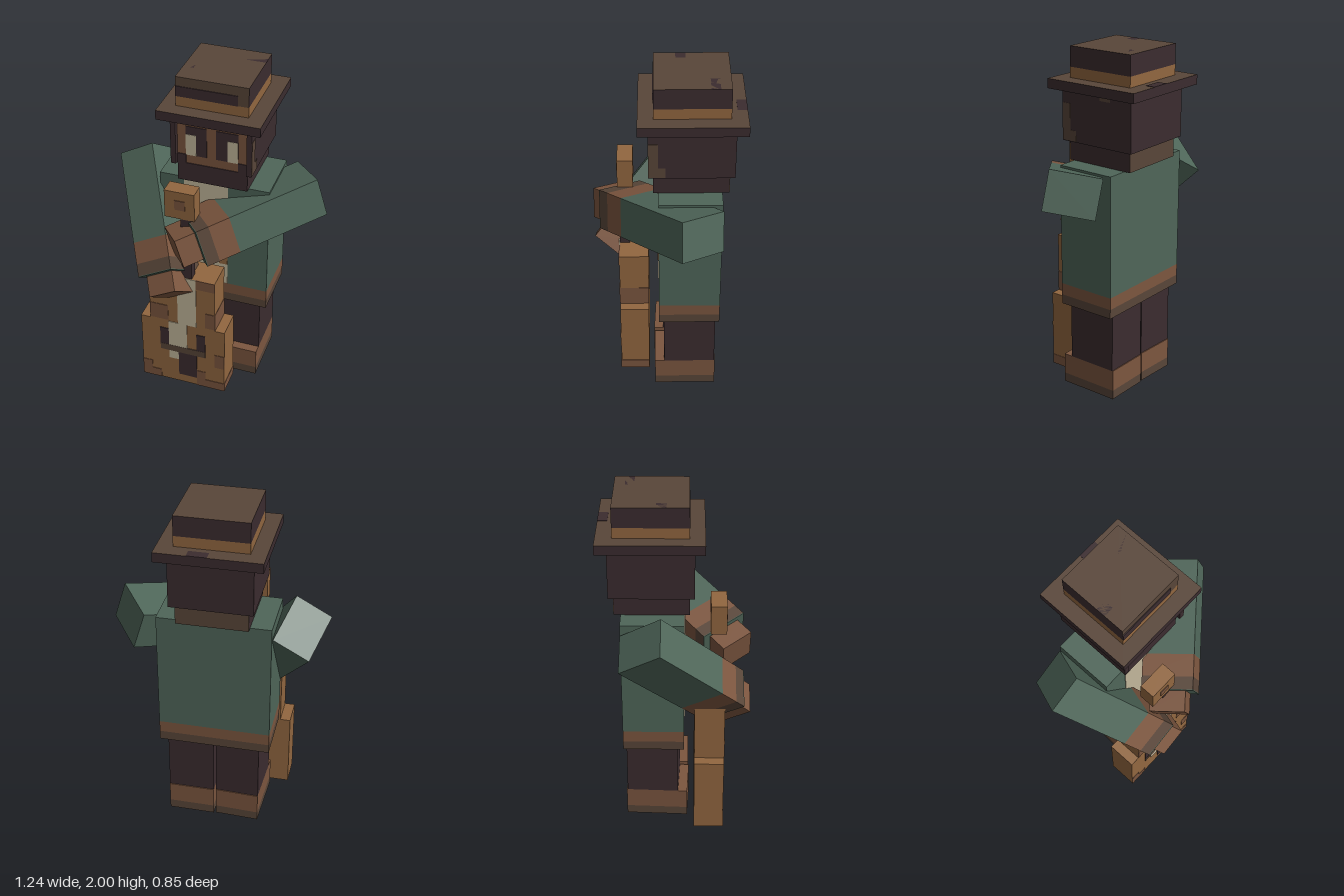
import * as THREE from 'three';

const mat = (name, color) => {
  const m = new THREE.MeshStandardMaterial({ color });
  m.name = name;
  return m;
};

export function createModel() {
  const green = mat('jacket green', 0x4f6659);
  const tan = mat('guitar wood', 0x926740);
  const brown = mat('skin and leather brown', 0x7c563f);
  const umber = mat('hat brown', 0x594639);
  const dark = mat('dark hair and trousers', 0x3b2c2f);
  const cream = mat('cream', 0xc3b79b);

  const model = new THREE.Group();
  const group = (name, parent = model) => {
    const g = new THREE.Group();
    g.name = name;
    parent.add(g);
    return g;
  };
  // Box given by its extents on each axis
  const box = (parent, name, m, x0, x1, y0, y1, z0, z1) => {
    const mesh = new THREE.Mesh(new THREE.BoxGeometry(x1 - x0, y1 - y0, z1 - z0), m);
    mesh.position.set((x0 + x1) / 2, (y0 + y1) / 2, (z0 + z1) / 2);
    mesh.name = name;
    parent.add(mesh);
    return mesh;
  };
  const T = 0.004;
  // Thin painted plates on front, top and left faces
  const front = (p, name, m, z, x0, x1, y0, y1) => box(p, name, m, x0, x1, y0, y1, z - T, z + T);
  const top = (p, name, m, y, x0, x1, z0, z1) => box(p, name, m, x0, x1, y - T, y + T / 2, z0, z1);
  const side = (p, name, m, x, z0, z1, y0, y1) => box(p, name, m, x - T, x + T / 2, y0, y1, z0, z1);

  // Hat
  const hat = group('hat');
  box(hat, 'brim', [dark, dark, umber, dark, dark, dark], -0.295, 0.29, 1.77, 1.825, -0.435, 0.15);
  box(hat, 'hatBand', tan, -0.21, 0.2, 1.825, 1.885, -0.345, 0.065);
  box(hat, 'crown', [dark, dark, umber, dark, umber, dark], -0.21, 0.2, 1.885, 2, -0.345, 0.065);
  front(hat, 'crownStripe', dark, 0.065, -0.21, 0.14, 1.885, 1.945);
  top(hat, 'brimPatch', dark, 1.825, 0, 0.11, -0.435, -0.38);
  top(hat, 'crownPatch', dark, 2 - T / 2, 0.085, 0.2, -0.285, -0.235);
  top(hat, 'crownPatch', dark, 2 - T / 2, -0.21, -0.15, -0.11, -0.055);

  // Head with a hair shell open at the front
  const head = group('head');
  box(head, 'face', [dark, dark, dark, dark, brown, dark], -0.205, 0.2, 1.36, 1.77, -0.345, 0.065);
  box(head, 'hairLeft', dark, 0.2, 0.23, 1.475, 1.77, -0.375, 0.095);
  box(head, 'hairRight', dark, -0.235, -0.205, 1.475, 1.77, -0.375, 0.095);
  box(head, 'hairBack', dark, -0.205, 0.2, 1.475, 1.77, -0.375, -0.345);
  box(head, 'nape', umber, -0.205, 0.2, 1.36, 1.475, -0.349, -0.344);
  front(head, 'beard', dark, 0.065, -0.205, 0.2, 1.36, 1.475);
  for (const [x0, x1] of [[-0.205, -0.155], [0.145, 0.2]])
    front(head, 'sideburn', dark, 0.065, x0, x1, 1.475, 1.53);
  front(head, 'eyeSocketRight', dark, 0.065, -0.155, -0.035, 1.53, 1.71);
  front(head, 'eyeSocketLeft', dark, 0.065, 0.02, 0.145, 1.53, 1.71);
  front(head, 'eyeRight', cream, 0.067, -0.155, -0.095, 1.53, 1.66);
  front(head, 'eyeLeft', cream, 0.067, 0.085, 0.145, 1.53, 1.66);
  side(head, 'hairPatch', umber, 0.23, 0.04, 0.095, 1.48, 1.69);
  side(head, 'hairPatch', umber, 0.23, 0, 0.04, 1.48, 1.54);
  side(head, 'hairPatch', umber, 0.23, -0.235, -0.165, 1.735, 1.77);

  // Jacket and shirt
  const torso = group('torso');
  box(torso, 'jacket', green, -0.325, 0.32, 0.655, 1.36, -0.31, 0.04);
  box(torso, 'jacketTrim', brown, -0.325, 0.32, 0.585, 0.655, -0.31, 0.04);
  box(torso, 'jacketHem', umber, -0.325, 0.32, 0.53, 0.585, -0.31, 0.04);
  front(torso, 'shirt', cream, 0.04, -0.18, 0.08, 0.66, 1.36);
  front(torso, 'shirtPatch', tan, 0.042, 0.03, 0.08, 0.8, 0.87);
  front(torso, 'shirtPatch', tan, 0.042, 0.04, 0.08, 0.98, 1.04);

  // Legs and boots
  for (const [name, x0, x1, turn] of [['leftLeg', 0.005, 0.275, 0], ['rightLeg', -0.27, -0.015, -0.04]]) {
    const leg = group(name);
    const c = (x0 + x1) / 2, h = (x1 - x0) / 2;
    leg.position.set(c, 0, -0.14);
    leg.rotation.y = turn;
    box(leg, 'trouserLeg', dark, -h, h, 0.18, 0.53, -0.15, 0.15);
    box(leg, 'boot', brown, -h, h, 0.055, 0.18, -0.155, 0.205);
    box(leg, 'bootSole', umber, -h, h, 0, 0.055, -0.155, 0.205);
  }

  // Bent arms: u runs across the sleeve, d along it
  const arm = (name, shoulder, across, along) => {
    const g = group(name);
    const d = new THREE.Vector3(...along).normalize();
    const u = new THREE.Vector3(...across);
    u.addScaledVector(d, -u.dot(d)).normalize();
    const w = new THREE.Vector3().crossVectors(u, d);
    g.quaternion.setFromRotationMatrix(new THREE.Matrix4().makeBasis(u, d, w));
    g.position.set(...shoulder);
    const part = (n, m, a, b, hx, hz) => box(g, n, m, -hx, hx, a, b, -hz, hz);
    part('sleeve', green, 0, 0.535, 0.114, 0.145);
    part('cuff', brown, 0.535, 0.66, 0.114, 0.145);
    part('cuffEdge', umber, 0.66, 0.731, 0.114, 0.145);
    part('cuffLining', green, 0.731, 0.736, 0.114, 0.145);
    part('hand', brown, 0.736, 0.855, 0.088, 0.1);
  };
  arm('rightArm', [-0.475, 1.325, -0.1975], [0.876, 0.482, 0], [0.375, -0.68, 0.628]);
  arm('leftArm', [0.5035, 1.2835, -0.1975], [0.295, -0.955, 0], [-0.746, -0.23, 0.624]);

  // Guitar standing on the ground
  const guitar = group('guitar');
  const F = 0.272;
  box(guitar, 'lowerBody', tan, -0.385, 0.14, 0, 0.47, 0.1, F);
  box(guitar, 'upperBody', tan, -0.325, 0.08, 0.47, 0.825, 0.1, F);
  box(guitar, 'neck', dark, -0.12, -0.06, 0.825, 1.24, 0.21, 0.27);
  box(guitar, 'headstock', tan, -0.21, -0.035, 1.24, 1.415, 0.185, 0.275);
  front(guitar, 'headstockPatch', brown, 0.275, -0.15, -0.09, 1.3, 1.36);
  front(guitar, 'upperStrip', cream, F, -0.15, -0.035, 0.47, 0.825);
  front(guitar, 'lowerStrip', cream, F, -0.21, -0.095, 0.285, 0.47);
  front(guitar, 'lowerStripEnd', cream, F, -0.21, -0.15, 0.18, 0.24);
  front(guitar, 'soundHole', dark, F, -0.265, -0.21, 0.285, 0.41);
  front(guitar, 'soundHole', dark, F, -0.035, 0.02, 0.285, 0.41);
  front(guitar, 'bridge', umber, F + 0.001, -0.265, 0.02, 0.24, 0.285);
  front(guitar, 'tailpiece', dark, F, -0.15, -0.035, 0.06, 0.24);
  const worn = [
    [-0.385, -0.265, 0, 0.06], [-0.385, -0.325, 0.06, 0.12], [0.02, 0.14, 0, 0.06],
    [-0.035, 0.02, 0, 0.12], [0.08, 0.14, 0.18, 0.28], [-0.325, -0.21, 0.48, 0.59],
    [-0.035, 0.08, 0.76, 0.825], [0.02, 0.08, 0.48, 0.59],
  ];
  for (const r of worn) front(guitar, 'wornPatch', brown, F - 0.001, ...r);
  side(guitar, 'wornSide', brown, 0.14, 0.1, F, 0, 0.06);
  side(guitar, 'wornSide', brown, 0.08, 0.1, F, 0.47, 0.59);

  return model;
}
